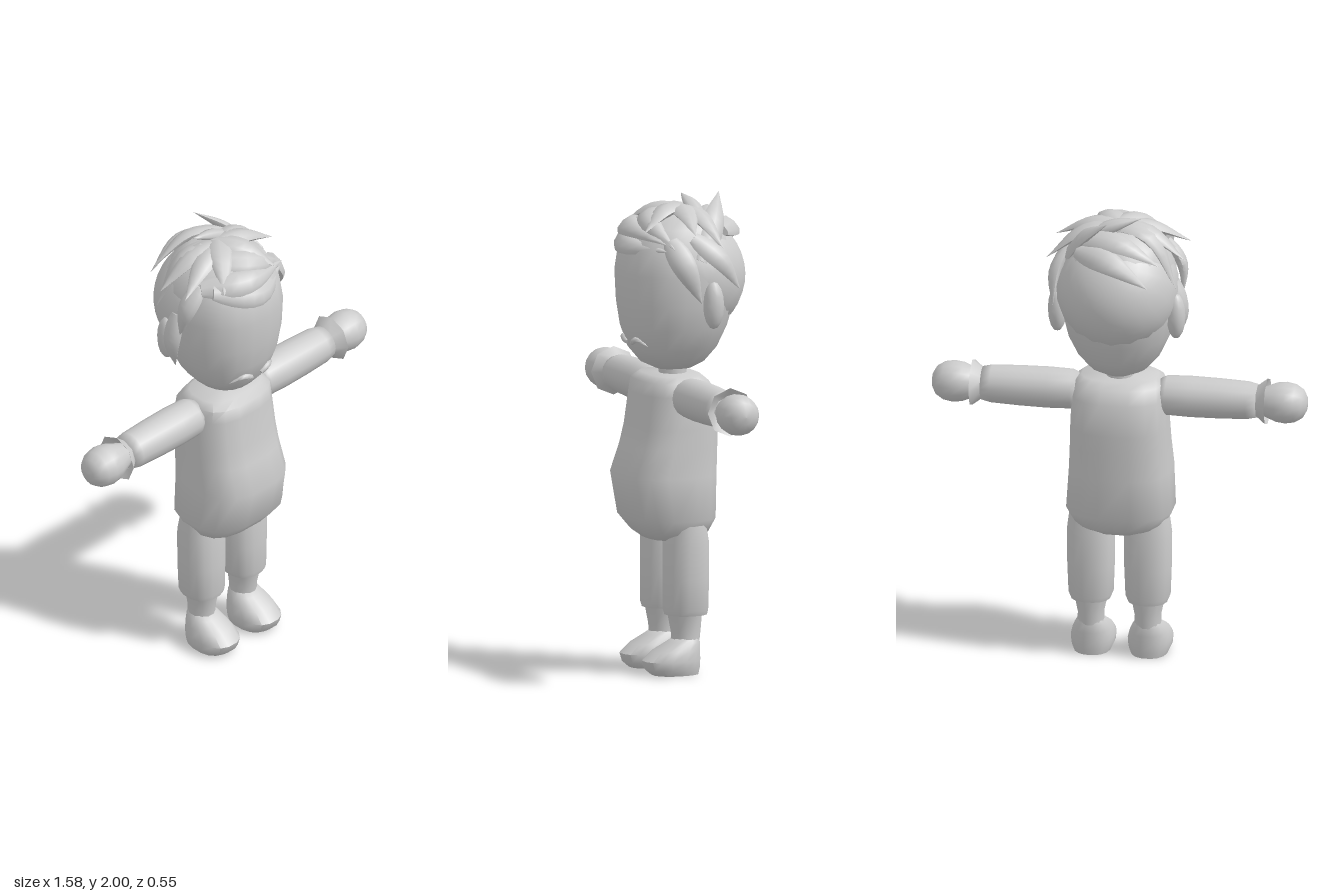
import * as THREE from 'three';
import { toCreasedNormals } from 'three/addons/utils/BufferGeometryUtils.js';

const grey = new THREE.MeshStandardMaterial({ color: 0xcccccc, side: THREE.DoubleSide });
grey.name = 'plain grey';

function add(parent, name, geometry, x = 0, y = 0, z = 0) {
  const mesh = new THREE.Mesh(geometry, grey);
  mesh.name = name;
  mesh.position.set(x, y, z);
  parent.add(mesh);
  return mesh;
}

// Skin a list of closed rings, with a fan at each end.
function skin(rings, crease) {
  const n = rings[0].length, pos = [], index = [];
  rings.forEach(r => r.forEach(p => pos.push(p.x, p.y, p.z)));
  for (let r = 0; r < rings.length - 1; r++) {
    for (let i = 0; i < n; i++) {
      const a = r * n + i, b = r * n + (i + 1) % n;
      index.push(a, a + n, b, b, a + n, b + n);
    }
  }
  const last = (rings.length - 1) * n;
  [0, last].forEach((start, top) => {
    const mid = new THREE.Vector3();
    rings[top ? rings.length - 1 : 0].forEach(p => mid.addScaledVector(p, 1 / n));
    const c = pos.length / 3;
    pos.push(mid.x, mid.y, mid.z);
    for (let i = 0; i < n; i++) {
      const a = start + i, b = start + (i + 1) % n;
      if (top) index.push(c, b, a); else index.push(c, a, b);
    }
  });
  const g = new THREE.BufferGeometry();
  g.setAttribute('position', new THREE.Float32BufferAttribute(pos, 3));
  g.setIndex(index);
  g.computeVertexNormals();
  return toCreasedNormals(g, crease);
}

// Horizontal sections from the bottom up: [y, half width, front z, back z].
function loft(sections, sides = 16, power = 1, crease = 0.9) {
  const bend = v => Math.sign(v) * Math.abs(v) ** power;
  return skin(sections.map(([y, rx, zf, zb]) =>
    Array.from({ length: sides }, (_, i) => {
      const a = (i + 0.5) / sides * Math.PI * 2;
      return new THREE.Vector3(rx * bend(Math.cos(a)), y,
        (zf + zb) / 2 + (zf - zb) / 2 * bend(Math.sin(a)));
    })), crease);
}

const vec = p => new THREE.Vector3(...p);
const scalp = { centre: vec([0, 1.64, 0]), radii: vec([0.265, 0.3, 0.29]) };

// A leaf-shaped lock lying flat against the head, pointed at its end.
function lock(points, width, thick) {
  const curve = new THREE.CatmullRomCurve3(points), rings = [];
  for (let k = 0; k <= 10; k++) {
    const u = k / 10, p = curve.getPoint(u), t = curve.getTangent(u);
    const side = new THREE.Vector3().crossVectors(t, p.clone().sub(scalp.centre)).normalize();
    const out = new THREE.Vector3().crossVectors(side, t).normalize();
    const f = Math.max(0.01, Math.sin(Math.PI * (0.12 + 0.88 * u) ** 0.75));
    rings.push(Array.from({ length: 8 }, (_, i) => {
      const a = -i / 8 * Math.PI * 2;
      return p.clone().addScaledVector(side, Math.cos(a) * width * f)
        .addScaledVector(out, Math.sin(a) * thick * f);
    }));
  }
  return skin(rings, 1.2);
}

// A lock from root to tip whose middle is pushed out over the scalp.
function scalpLock(root, tip) {
  const mid = root.clone().lerp(tip, 0.5).sub(scalp.centre);
  mid.multiplyScalar(1.06 / mid.clone().divide(scalp.radii).length()).add(scalp.centre);
  return lock([root, mid, tip], Math.min(0.055, root.distanceTo(tip) * 0.18), 0.026);
}

export function createModel() {
  const model = new THREE.Group();
  model.name = 'figure';

  // Torso with a rounded belly
  add(model, 'torso', loft([
    [0.56, 0.13, 0.15, -0.06], [0.59, 0.19, 0.19, -0.095], [0.65, 0.225, 0.24, -0.125],
    [0.83, 0.214, 0.278, -0.135], [0.95, 0.207, 0.235, -0.138], [1.03, 0.204, 0.215, -0.14],
    [1.17, 0.197, 0.195, -0.138], [1.225, 0.188, 0.185, -0.1], [1.25, 0.16, 0.15, -0.07]],
  16, 0.72));

  // Head and neck
  add(model, 'neck', new THREE.CylinderGeometry(0.058, 0.058, 0.12, 12), 0, 1.28, 0.03);
  add(model, 'head', loft([
    [1.27, 0.06, 0.1, -0.05], [1.3, 0.125, 0.165, -0.1], [1.36, 0.175, 0.215, -0.15],
    [1.45, 0.217, 0.243, -0.19], [1.55, 0.238, 0.258, -0.22], [1.68, 0.243, 0.265, -0.23],
    [1.78, 0.23, 0.25, -0.22], [1.87, 0.185, 0.2, -0.18], [1.925, 0.1, 0.11, -0.12]],
  20, 0.88, 1.3));
  for (const s of [1, -1]) {
    const name = s > 0 ? 'left' : 'right';
    const ear = add(model, name + 'Ear', new THREE.SphereGeometry(1, 12, 8),
      s * 0.25, 1.56, -0.05);
    ear.scale.set(0.04, 0.1, 0.045);
    add(model, name + 'Moustache', lock([vec([s * 0.025, 1.385, 0.225]),
      vec([s * 0.07, 1.405, 0.222]), vec([s * 0.125, 1.38, 0.19])], 0.012, 0.015));
  }

  // Smooth hair shell over the back of the head
  const cap = add(model, 'hairBack',
    new THREE.SphereGeometry(1, 20, 10, 0, Math.PI * 2, 0, Math.PI / 2), 0, 1.66, -0.02);
  cap.scale.set(0.258, 0.255, 0.26);
  cap.rotation.x = -0.863;

  const hair = new THREE.Group();
  hair.name = 'hair';
  model.add(hair);

  // Fringe swept to the left
  [
    [[-0.18, 1.85, 0.15], [0.0, 1.805, 0.245], [0.22, 1.79, 0.14]],
    [[-0.2, 1.85, 0.1], [-0.04, 1.87, 0.215], [0.22, 1.82, 0.15]],
    [[-0.1, 1.92, 0.05], [0.05, 1.905, 0.16], [0.24, 1.8, 0.12]],
  ].forEach(p => add(hair, 'fringeLock', lock(p.map(vec), 0.055, 0.026)));

  // Spikes fanning out from the crown, listed by tip
  [
    [-0.29, 1.84, 0.1], [-0.16, 1.85, 0.2], [0.13, 1.86, 0.21], [0.27, 1.86, 0.04],
    [0.29, 1.8, -0.08], [-0.29, 1.81, -0.05], [-0.26, 1.7, -0.1],
  ].forEach(([x, y, z]) => add(hair, 'crownLock',
    scalpLock(vec([-x / 4, 1.93, -z / 4]), vec([x, y, z]))));

  // Upright tufts, then locks swept across the back, by root and tip
  [
    [[0.1, 1.91, -0.05], [-0.1, 1.985, -0.05]],
    [[0.23, 1.74, 0.0], [0.02, 2.0, -0.17]],
    [[0.16, 1.89, -0.08], [-0.2, 1.83, -0.18]],
    [[0.15, 1.86, -0.13], [-0.16, 1.75, -0.24]],
  ].forEach(([a, b]) => add(hair, 'sweptLock', scalpLock(vec(a), vec(b))));

  // Locks hanging at the sides, by root and tip
  [
    [[-0.19, 1.85, 0.08], [-0.265, 1.62, 0.04]],
    [[-0.24, 1.7, 0.0], [-0.25, 1.44, 0.0]],
    [[0.19, 1.83, 0.12], [0.27, 1.57, 0.01]],
    [[0.2, 1.84, 0.02], [0.25, 1.62, -0.17]],
  ].forEach(([a, b]) => add(hair, 'sideLock', scalpLock(vec(a), vec(b))));

  const lathe = (pts, sides) =>
    new THREE.LatheGeometry(pts.map(p => new THREE.Vector2(...p)), sides);
  for (const s of [1, -1]) {
    const name = s > 0 ? 'left' : 'right';

    // Arm, flared cuff and round hand, turned along x
    const arm = new THREE.Group();
    arm.name = name + 'Arm';
    arm.position.set(0, 1.168, 0.032);
    arm.rotation.z = -s * Math.PI / 2;
    model.add(arm);
    add(arm, 'sleeve', lathe([[0, 0.15], [0.07, 0.17], [0.083, 0.2], [0.086, 0.3],
      [0.084, 0.42], [0.079, 0.54], [0.07, 0.58], [0, 0.59]], 16));
    add(arm, 'cuff', toCreasedNormals(
      lathe([[0.06, 0.57], [0.102, 0.622], [0.062, 0.595]], 8), 0.9));
    add(arm, 'hand', lathe([[0.05, 0.58], [0.068, 0.625], [0.082, 0.66], [0.087, 0.7],
      [0.08, 0.74], [0.06, 0.772], [0.03, 0.788], [0, 0.791]], 16));

    // Trouser leg, ankle and shoe
    const leg = new THREE.Group();
    leg.name = name + 'Leg';
    leg.position.x = s * 0.12;
    model.add(leg);
    add(leg, 'trouserLeg', loft([[0.25, 0.085, 0.11, -0.065], [0.27, 0.093, 0.115, -0.07],
      [0.4, 0.098, 0.115, -0.073], [0.55, 0.1, 0.113, -0.073], [0.63, 0.09, 0.1, -0.06]],
    16, 0.85));
    add(leg, 'ankle', loft([[0.12, 0.058, 0.08, -0.035], [0.18, 0.055, 0.085, -0.042],
      [0.26, 0.072, 0.1, -0.048]], 12));
    add(leg, 'shoe', loft([[0, 0.078, 0.17, -0.03], [0.025, 0.09, 0.2, -0.035],
      [0.06, 0.093, 0.21, -0.037], [0.1, 0.082, 0.165, -0.037], [0.135, 0.065, 0.1, -0.036],
      [0.155, 0.05, 0.07, -0.03]], 16, 0.85));
  }
  return model;
}
